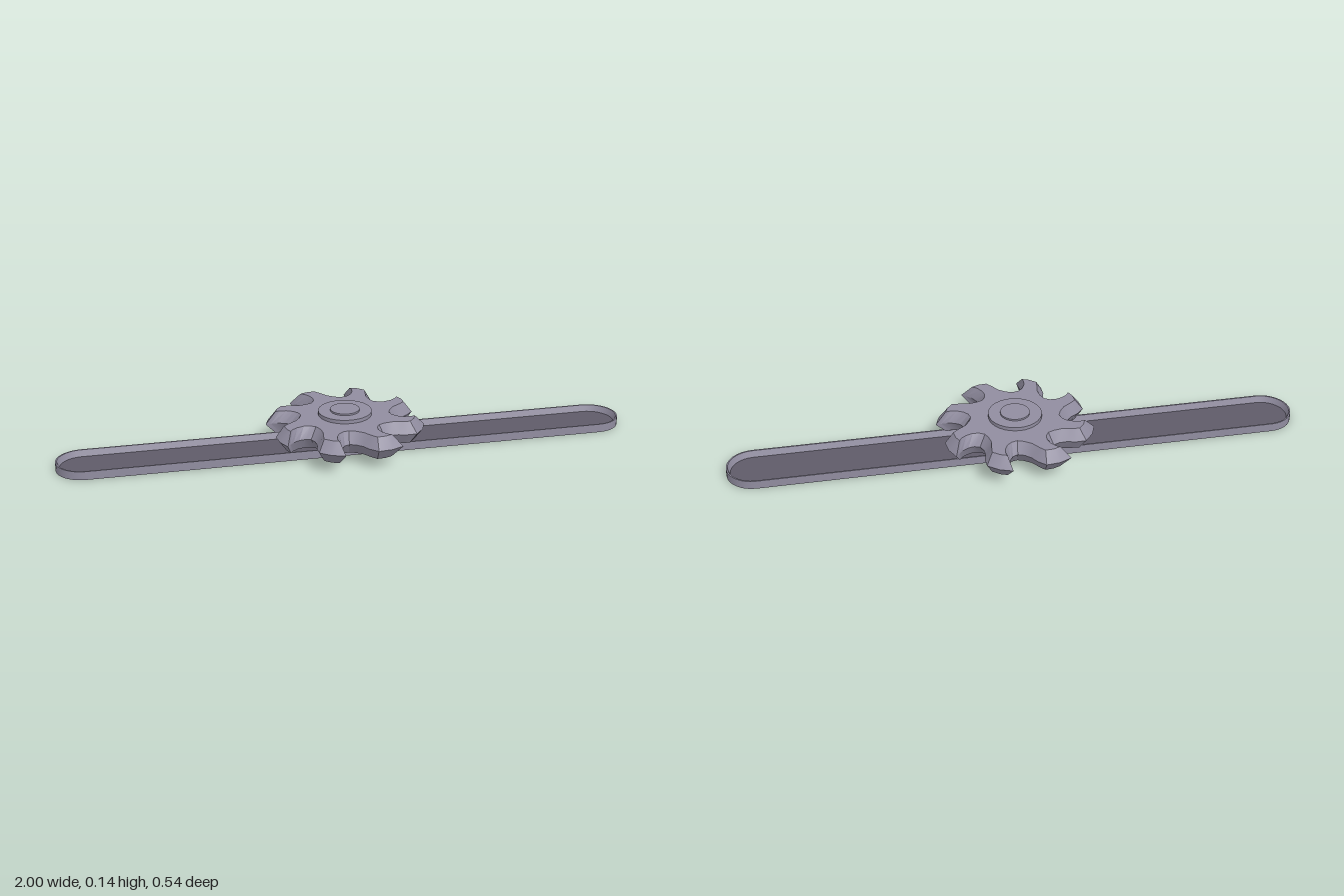
import * as THREE from 'three';
import { toCreasedNormals } from 'three/addons/utils/BufferGeometryUtils.js';

const steel = new THREE.MeshStandardMaterial({ color: 0x918da0 });
steel.name = 'steel';
const darkSteel = new THREE.MeshStandardMaterial({ color: 0x5f5b69 });
darkSteel.name = 'dark steel';

// Triangles of a flat cap on a counter-clockwise loop at a height
function capPoints(loop, height, down = false) {
  const out = [];
  for (const f of THREE.ShapeUtils.triangulateShape(loop, [])) {
    const [a, b, c] = f.map((i) => loop[i]);
    for (const p of down ? [a, c, b] : [a, b, c]) out.push(p.x, height, -p.y);
  }
  return out;
}

// Skin between matching loops, each given as [loop, height]
function skinPoints(levels) {
  const out = [];
  for (let k = 0; k + 1 < levels.length; k++) {
    const [low, h0] = levels[k];
    const [high, h1] = levels[k + 1];
    for (let i = 0; i < low.length; i++) {
      const j = (i + 1) % low.length;
      const a = [low[i].x, h0, -low[i].y];
      const b = [low[j].x, h0, -low[j].y];
      const c = [high[j].x, h1, -high[j].y];
      const d = [high[i].x, h1, -high[i].y];
      out.push(...a, ...b, ...c, ...a, ...c, ...d);
    }
  }
  return out;
}

function makeMesh(name, points, material) {
  const geometry = new THREE.BufferGeometry();
  geometry.setAttribute('position', new THREE.Float32BufferAttribute(points, 3));
  const mesh = new THREE.Mesh(toCreasedNormals(geometry, 0.45), material);
  mesh.name = name;
  return mesh;
}

// Long round-ended outline of the track
function trackLoop(inset) {
  const loop = [];
  const r = 0.095 - inset;
  for (const side of [1, -1]) {
    for (let i = 0; i <= 16; i++) {
      const a = -Math.PI / 2 + (i / 16) * Math.PI;
      loop.push(new THREE.Vector2(side * (0.905 + r * Math.cos(a)), side * r * Math.sin(a)));
    }
  }
  return loop;
}

// Eight hooked teeth; each profile entry is [degrees behind the tip, radius]
function toothLoop(profile) {
  const loop = [];
  for (let t = 0; t < 8; t++) {
    for (const [deg, r] of profile) {
      const a = THREE.MathUtils.degToRad(78 - t * 45 - deg);
      loop.push(new THREE.Vector2(r * Math.cos(a), r * Math.sin(a)));
    }
  }
  return loop.reverse();
}

function disc(name, radius, y0, y1) {
  const mesh = new THREE.Mesh(new THREE.CylinderGeometry(radius, radius, y1 - y0, 32), steel);
  mesh.position.y = (y0 + y1) / 2;
  mesh.name = name;
  return mesh;
}

export function createModel() {
  const model = new THREE.Group();
  model.name = 'sawOnTrack';

  // Track: raised wall around a dark floor
  const outer = trackLoop(0);
  const rim = trackLoop(0.005);
  const inner = trackLoop(0.013);
  model.add(
    makeMesh('trackWall', skinPoints([[outer, 0], [outer, 0.03], [rim, 0.03], [inner, 0.008]]), steel),
    makeMesh('trackFloor', [...capPoints(inner, 0.008), ...capPoints(outer, 0, true)], darkSteel),
  );

  // Blade: knife edge halfway up, bevelled to smaller flat faces
  const edge = toothLoop([
    [0, 0.275], [10, 0.272], [20, 0.262], [25, 0.232], [28, 0.205], [34, 0.185],
    [41, 0.178], [46, 0.19], [48, 0.21], [48, 0.235], [46.5, 0.257],
  ]);
  const face = toothLoop([
    [5, 0.242], [11, 0.241], [18, 0.234], [21, 0.21], [25, 0.18], [33, 0.16],
    [41, 0.153], [48, 0.162], [52, 0.18], [53, 0.205], [52, 0.227],
  ]);
  model.add(makeMesh('sawBlade', [
    ...skinPoints([[face, 0.037], [edge, 0.077], [face, 0.117]]),
    ...capPoints(face, 0.117),
    ...capPoints(face, 0.037, true),
  ], steel));

  // Hub and axle cap
  model.add(
    disc('lowerHub', 0.092, 0.006, 0.04),
    disc('upperHub', 0.093, 0.115, 0.13),
    disc('axleCap', 0.051, 0.128, 0.136),
  );
  return model;
}
